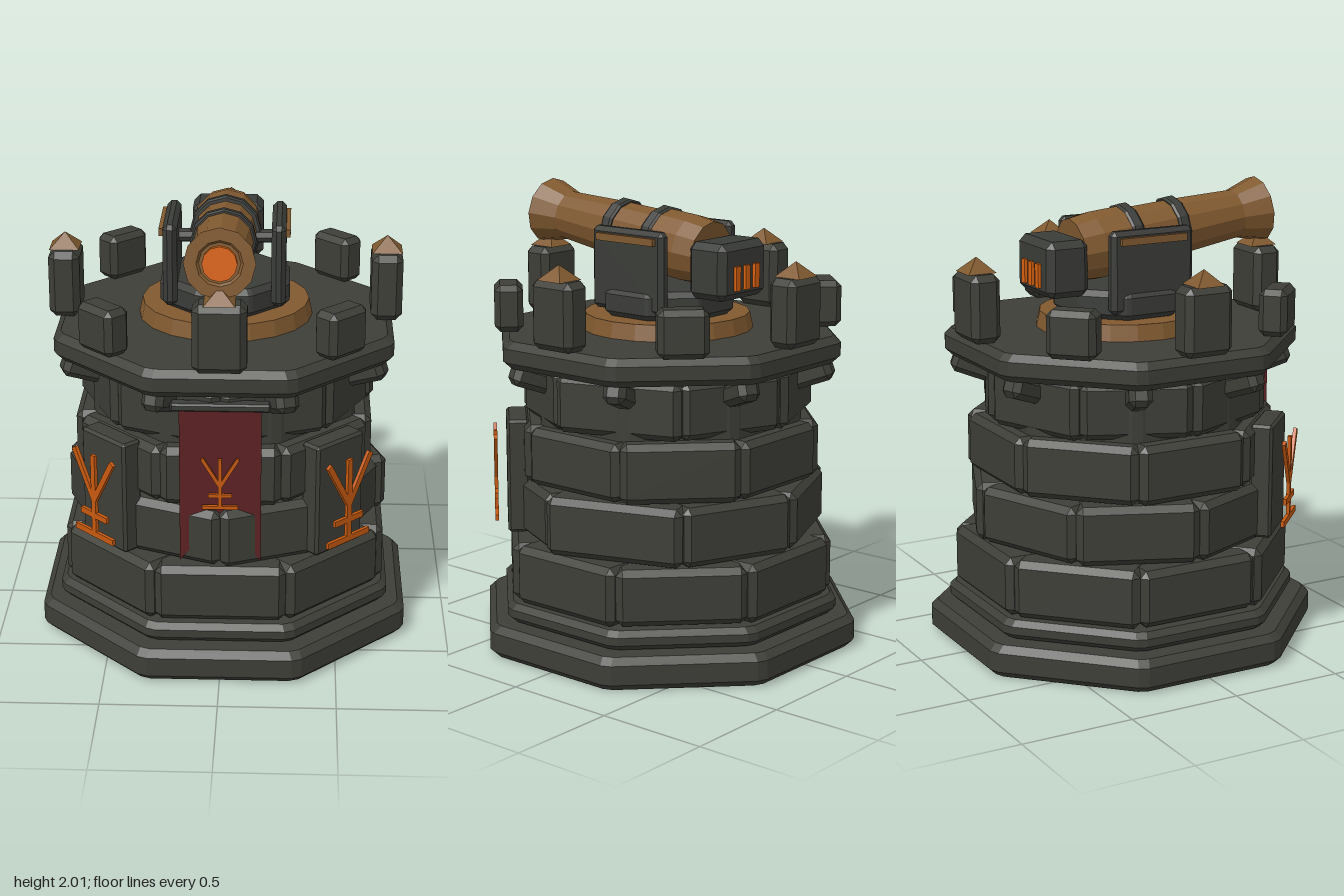
import * as THREE from 'three';
import { ConvexGeometry } from 'three/addons/geometries/ConvexGeometry.js';

const mat = (name, color) => {
  const m = new THREE.MeshStandardMaterial({ color });
  m.name = name;
  return m;
};

// Box with every edge and corner cut by a single flat chamfer
function chamferBox(w, h, d, b) {
  const pts = [], X = w / 2, Y = h / 2, Z = d / 2;
  for (const x of [-1, 1]) for (const y of [-1, 1]) for (const z of [-1, 1]) {
    pts.push(new THREE.Vector3(x * X, y * (Y - b), z * (Z - b)),
      new THREE.Vector3(x * (X - b), y * Y, z * (Z - b)),
      new THREE.Vector3(x * (X - b), y * (Y - b), z * Z));
  }
  return new ConvexGeometry(pts);
}

// Octagonal slab with flats facing the axes, chamfered rims and clipped corners
function octSlab(apothem, y0, y1, b, clip = 0.025) {
  const pts = [];
  for (const [y, a] of [[y0, apothem - b], [y0 + b, apothem], [y1 - b, apothem], [y1, apothem - b]]) {
    const half = a * Math.tan(Math.PI / 8) - clip;
    for (let k = 0; k < 8; k++) for (const s of [-half, half]) {
      pts.push(new THREE.Vector3(s, y, a).applyAxisAngle(new THREE.Vector3(0, 1, 0), k * Math.PI / 4));
    }
  }
  return new ConvexGeometry(pts);
}

function faceted(geo) {
  const g = geo.toNonIndexed();
  g.computeVertexNormals();
  return g;
}

export function createModel() {
  const root = new THREE.Group();
  root.name = 'cannonTower';
  const stone = mat('dark stone', 0x3d3e37);
  const iron = mat('dark iron', 0x3a3c38);
  const bronze = mat('bronze', 0x80592f);
  const glow = mat('glowing orange', 0xd9620f);
  const rune = mat('rune orange', 0xc85a10);
  const cloth = mat('banner red', 0x5c2023);
  cloth.side = THREE.DoubleSide;

  const add = (name, geo, material, x = 0, y = 0, z = 0, parent = root) => {
    const m = new THREE.Mesh(geo, material);
    m.name = name;
    m.position.set(x, y, z);
    parent.add(m);
    return m;
  };
  // Group turned so that its +z points outwards at the given angle
  const facing = (name, deg) => {
    const g = new THREE.Group();
    g.name = name;
    g.rotation.y = THREE.MathUtils.degToRad(deg);
    root.add(g);
    return g;
  };

  // Plinth, core and deck
  add('plinth', octSlab(0.81, 0, 0.145, 0.03), stone);
  add('plinthStep', octSlab(0.73, 0.15, 0.235, 0.025), stone);
  add('core', octSlab(0.57, 0.2, 1.3, 0.02), stone);
  add('deck', octSlab(0.73, 1.285, 1.405, 0.03), stone);

  // Four courses of blocks; every other course is turned by half a block
  const courses = [[0.705, 0.24, 0.495], [0.663, 0.5, 0.755], [0.645, 0.765, 1.02], [0.605, 1.03, 1.28]];
  courses.forEach(([a, y0, y1], row) => {
    const seams = [];
    for (let k = 0; k <= 8; k++) seams.push(k * 45 + (row % 2 ? 0 : 22.5));
    if (row % 2) seams[2] -= 7;
    for (let k = 0; k < 8; k++) {
      const span = THREE.MathUtils.degToRad(seams[k + 1] - seams[k]);
      const wobble = 0.006 * Math.sin(k * 2.3 + row * 1.7);
      const g = facing('wallBlock', (seams[k] + seams[k + 1]) / 2);
      add('block', chamferBox(2 * a * Math.tan(span / 2) - 0.025, y1 - y0 + wobble, 0.2, 0.028),
        stone, 0, (y0 + y1) / 2, a - 0.1 + wobble * 0.5, g);
    }
  });

  for (let k = 0; k < 8; k++) {
    // Corbels under the deck corners
    const c = facing('corbel', 22.5 + k * 45);
    add('corbelBlock', chamferBox(0.1, 0.1, 0.19, 0.025), stone, 0, 1.235, 0.66, c).rotation.x = -0.35;

    // Capped posts on the flats, plain merlons on the diagonals
    const g = facing(k % 2 ? 'merlon' : 'post', k * 45);
    if (k % 2) {
      add('merlonBlock', chamferBox(0.215, 0.205, 0.125, 0.025), stone, 0, 1.508, 0.7, g);
    } else {
      add('postBlock', chamferBox(0.225, 0.295, 0.135, 0.028), stone, 0, 1.553, 0.7, g);
      const cap = faceted(new THREE.ConeGeometry(0.065 * Math.SQRT2, 0.065, 4).rotateY(Math.PI / 4));
      add('postCap', cap, bronze, 0, 1.732, 0.7, g);
    }
  }

  // Strokes of the branching emblem, each from (x1, y1) to (x2, y2)
  const emblem = (parent, y, z, s, t) => {
    const strokes = [[0, 0, 0, 0.37], [0, 0.16, 0.125, 0.37], [0, 0.16, -0.125, 0.37],
      [-0.125, 0, 0.125, 0], [-0.085, 0.09, 0.085, 0.09]];
    for (const [x1, y1, x2, y2] of strokes) {
      const len = Math.hypot(x2 - x1, y2 - y1) * s;
      const bar = add('emblemStroke', new THREE.BoxGeometry(len, t, 0.016), rune,
        (x1 + x2) / 2 * s, y + (y1 + y2) / 2 * s, z, parent);
      bar.rotation.z = Math.atan2(y2 - y1, x2 - x1);
    }
  };

  // Emblem panels on the two front diagonals
  for (const deg of [-45, 45]) {
    const g = facing('emblemPanel', deg);
    add('panel', chamferBox(0.28, 0.51, 0.1, 0.012), stone, 0, 0.765, 0.67, g);
    emblem(g, 0.575, 0.769, 1, 0.027);
  }

  // Swallow-tailed banner on its rail
  const flag = new THREE.Shape([[-0.172, 1.21], [-0.172, 0.515], [0, 0.72], [0.172, 0.515], [0.172, 1.21]]
    .map(([x, y]) => new THREE.Vector2(x, y)));
  add('banner', new THREE.ShapeGeometry(flag), cloth, 0, 0, 0.66);
  add('bannerRail', chamferBox(0.42, 0.035, 0.06, 0.008), iron, 0, 1.218, 0.635);
  const bannerEmblem = facing('bannerEmblem', 0);
  emblem(bannerEmblem, 0.777, 0.683, 0.6, 0.015);

  // Turntable and gun carriage
  add('turntable', faceted(new THREE.CylinderGeometry(0.365, 0.38, 0.07, 20)), bronze, 0, 1.44, 0);
  add('carriageBase', octSlab(0.28, 1.475, 1.6, 0.025, 0.01), iron);
  for (const s of [-1, 1]) {
    add('carriageCheek', chamferBox(0.062, 0.36, 0.4, 0.02), iron, s * 0.232, 1.682, 0.015);
    add('cheekTrim', new THREE.BoxGeometry(0.022, 0.032, 0.32), bronze, s * 0.27, 1.82, 0.01);
  }
  const pin = faceted(new THREE.CylinderGeometry(0.03, 0.03, 0.42, 8).rotateZ(Math.PI / 2));
  add('trunnion', pin, iron, 0, 1.765, 0.03);

  // Raised barrel; its origin is the centre of the muzzle
  const gun = new THREE.Group();
  gun.name = 'cannon';
  gun.position.set(0, 1.862, 0.7);
  gun.rotation.x = -0.115;
  root.add(gun);
  const lathe = (pts) => faceted(new THREE.LatheGeometry(pts.map(([r, z]) => new THREE.Vector2(r, z)), 12)
    .rotateX(Math.PI / 2));
  // A lathe turned on to the z axis keeps its outward faces
  add('barrel', lathe([[0, -0.95], [0.14, -0.95], [0.15, -0.85], [0.147, -0.7], [0.134, -0.67],
    [0.127, -0.43], [0.11, -0.13], [0.147, 0], [0.095, 0], [0.085, -0.012], [0, -0.012]]), bronze, 0, 0, 0, gun);
  for (const [z, r] of [[-0.685, 0.156], [-0.45, 0.142]]) {
    add('barrelBand', lathe([[0.1, z - 0.028], [r - 0.008, z - 0.028], [r, z - 0.018], [r, z + 0.018],
      [r - 0.008, z + 0.028], [0.1, z + 0.028]]), iron, 0, 0, 0, gun);
  }
  const core = faceted(new THREE.CylinderGeometry(0.072, 0.072, 0.025, 12).rotateX(Math.PI / 2));
  add('muzzleGlow', core, glow, 0, 0, 0, gun);

  // Breech block with glowing vents
  add('breech', chamferBox(0.315, 0.245, 0.2, 0.03), iron, 0, 1.698, -0.335);
  for (const x of [-0.065, 0, 0.065]) {
    add('breechVent', new THREE.BoxGeometry(0.032, 0.105, 0.016), glow, x, 1.67, -0.441);
  }
  return root;
}
